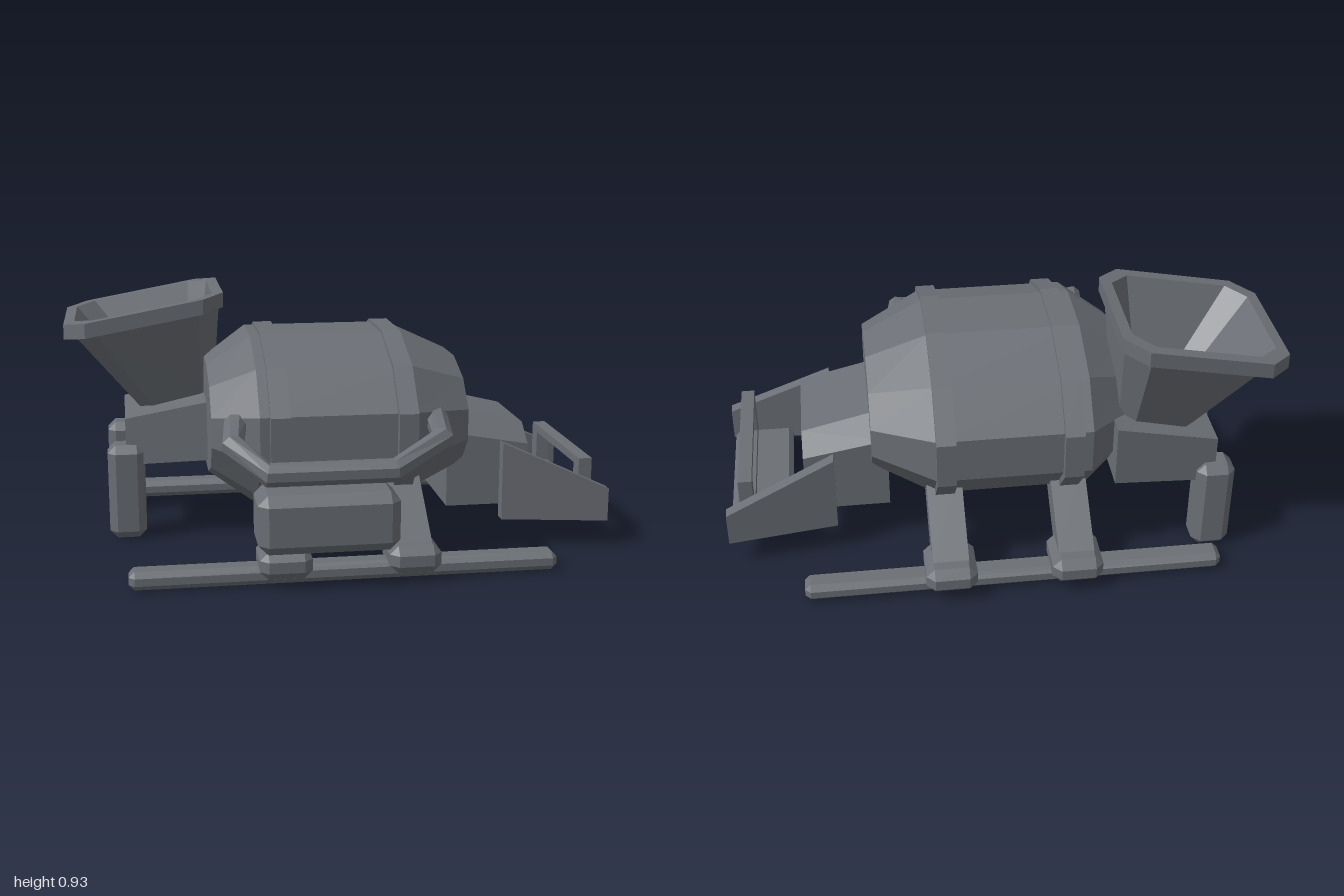
import * as THREE from 'three';
import { ConvexGeometry } from 'three/addons/geometries/ConvexGeometry.js';

const V = (x, y, z) => new THREE.Vector3(x, y, z);
const MID = -0.033; // z of the drum axis

// Closed skin over equal-length rings, capped at both ends and facing outward
function loft(rings) {
  const n = rings[0].length, tris = [];
  for (let r = 0; r < rings.length - 1; r++) {
    for (let i = 0; i < n; i++) {
      const j = (i + 1) % n;
      const a = rings[r][i], b = rings[r][j], c = rings[r + 1][j], d = rings[r + 1][i];
      tris.push([a, b, c], [a, c, d]);
    }
  }
  const last = rings[rings.length - 1];
  for (let i = 1; i < n - 1; i++) {
    tris.push([rings[0][0], rings[0][i + 1], rings[0][i]], [last[0], last[i], last[i + 1]]);
  }
  let volume = 0;
  for (const [a, b, c] of tris) volume += a.dot(b.clone().cross(c));
  if (volume < 0) tris.forEach((t) => t.reverse());
  const g = new THREE.BufferGeometry().setFromPoints(tris.flat());
  g.computeVertexNormals();
  return g;
}

// Box with all edges bevelled, given by its limits
function bevelBox(x0, x1, y0, y1, z0, z1, c) {
  const h = [(x1 - x0) / 2, (y1 - y0) / 2, (z1 - z0) / 2], pts = [];
  for (const sx of [-1, 1]) for (const sy of [-1, 1]) for (const sz of [-1, 1]) {
    for (let k = 0; k < 3; k++) {
      const p = h.map((v, i) => (i === k ? v : v - c));
      pts.push(V(sx * p[0], sy * p[1], sz * p[2]));
    }
  }
  return new ConvexGeometry(pts).translate((x0 + x1) / 2, (y0 + y1) / 2, (z0 + z1) / 2);
}

// Twelve-sided oval cross-section of the drum
function oval(x, ry, rz) {
  return Array.from({ length: 12 }, (_, i) => {
    const a = (i + 0.5) * Math.PI / 6;
    return V(x, 0.485 + ry * Math.sin(a), MID + rz * Math.cos(a));
  });
}

// Rectangle with cut corners, leaning along x
function cutRect(x0, x1, hz, cut, y, slope) {
  const cz = -0.28;
  return [
    [x0 + cut, -hz], [x1 - cut, -hz], [x1, -hz + cut], [x1, hz - cut],
    [x1 - cut, hz], [x0 + cut, hz], [x0, hz - cut], [x0, -hz + cut],
  ].map(([x, z]) => V(x, y + slope * (x + 0.7), cz + z));
}

// Octagonal bar swept along a bent path
function sweep(path, radius) {
  return loft(path.map((p, i) => {
    const a = path[Math.max(i - 1, 0)], b = path[Math.min(i + 1, path.length - 1)];
    const t = b.clone().sub(a).normalize();
    const side = V(0, 1, 0).cross(t).normalize(), up = t.clone().cross(side);
    return Array.from({ length: 8 }, (_, k) => {
      const q = (k + 0.5) * Math.PI / 4;
      return p.clone().addScaledVector(side, radius * Math.cos(q)).addScaledVector(up, radius * Math.sin(q));
    });
  }));
}

export function createModel() {
  const model = new THREE.Group();
  const grey = new THREE.MeshStandardMaterial({ color: 0x6b6f75, flatShading: true });
  grey.name = 'slate grey';
  const add = (name, geometry) => {
    const mesh = new THREE.Mesh(geometry, grey);
    mesh.name = name;
    model.add(mesh);
    return mesh;
  };

  // Drum and its two bands
  add('drum', loft([
    oval(-0.48, 0.213, 0.335), oval(-0.32, 0.326, 0.492),
    oval(0.235, 0.326, 0.492), oval(0.46, 0.22, 0.345),
  ]));
  for (const x of [-0.25, 0.205]) {
    add('drumBand', loft([
      oval(x - 0.035, 0.32, 0.49), oval(x - 0.035, 0.336, 0.521),
      oval(x + 0.035, 0.336, 0.521), oval(x + 0.035, 0.32, 0.49),
    ]));
  }

  // Intake block with its two rear legs
  const intake = (x, y0, y1, z0, z1) => [V(x, y0, z0), V(x, y0, z1), V(x, y1, z1), V(x, y1, z0)];
  add('intakeBlock', loft([
    intake(-0.785, 0.29, 0.47, -0.47, -0.04), intake(-0.41, 0.32, 0.555, -0.49, 0.04),
  ]));
  for (const z of [-0.067, -0.45]) {
    add('rearLeg', bevelBox(-0.855, -0.715, 0.005, 0.37, z - 0.065, z + 0.065, 0.03));
  }

  // Hollow feed hopper with a thick leaning rim
  add('hopper', loft([
    cutRect(-0.72, -0.44, 0.13, 0.05, 0.48, 0.2),
    cutRect(-0.96, -0.42, 0.265, 0.08, 0.83, 0.183),
    cutRect(-1, -0.405, 0.295, 0.08, 0.83, 0.183),
    cutRect(-1, -0.405, 0.295, 0.08, 0.886, 0.183),
    cutRect(-0.96, -0.445, 0.25, 0.07, 0.886, 0.183),
    cutRect(-0.77, -0.48, 0.145, 0.05, 0.64, 0.183),
  ]));

  // Discharge chute
  const chute = (x, top, shoulder) => [
    V(x, 0.155, MID - 0.26), V(x, shoulder, MID - 0.26), V(x, top, MID - 0.175),
    V(x, top, MID + 0.175), V(x, shoulder, MID + 0.26), V(x, 0.155, MID + 0.26),
  ];
  add('dischargeChute', loft([chute(0.4, 0.525, 0.44), chute(0.71, 0.45, 0.385)]));

  // Flared chute side plates
  for (const s of [-1, 1]) {
    const end = (x, y0, y1, z) => [
      V(x, y0, MID + s * z), V(x, y1, MID + s * z),
      V(x, y1, MID + s * (z + 0.047)), V(x, y0, MID + s * (z + 0.047)),
    ];
    add('chuteSidePlate', loft([end(0.6, 0.11, 0.405, 0.27), end(1, 0.1, 0.225, 0.315)]));
  }

  // Catch tray with an upright guard frame
  add('catchTray', bevelBox(0.76, 0.99, 0.095, 0.145, MID - 0.307, MID + 0.307, 0.018));
  const frame = new THREE.Shape();
  const rect = (path, w, y0, y1) => path.moveTo(-w, y0).lineTo(w, y0).lineTo(w, y1).lineTo(-w, y1).closePath();
  rect(frame, 0.3, 0.13, 0.33);
  const hole = new THREE.Path();
  rect(hole, 0.238, 0.18, 0.3);
  frame.holes.push(hole);
  const guard = add('guardFrame', new THREE.ExtrudeGeometry(frame, { depth: 0.05, bevelEnabled: false }));
  guard.rotation.y = Math.PI / 2;
  guard.position.set(0.9, 0, MID);

  // Motor housing and the bent push handle around it
  add('motorHousing', bevelBox(-0.35, 0.143, 0.135, 0.345, 0.445, 0.672, 0.035));
  add('pushHandle', sweep([
    V(-0.4, 0.53, 0.36), V(-0.425, 0.505, 0.56), V(-0.315, 0.425, 0.66),
    V(0.12, 0.425, 0.66), V(0.305, 0.505, 0.56), V(0.325, 0.53, 0.36),
  ], 0.042));

  // Skids, clamps and slanted struts on both sides
  for (const s of [-1, 1]) {
    const z = MID + s * 0.566;
    add('skid', bevelBox(-0.79, 0.73, 0.005, 0.072, z - 0.047, z + 0.047, 0.02));
    for (const x of [-0.25, 0.205]) {
      add('skidClamp', bevelBox(x - 0.092, x + 0.092, 0.035, 0.135, z - 0.103, z + 0.103, 0.03));
      const strut = add('strut', new THREE.BoxGeometry(0.13, 0.1, 0.36));
      strut.position.set(x, 0.2, MID + s * 0.435);
      strut.rotation.x = s * 0.66;
    }
  }
  return model;
}
